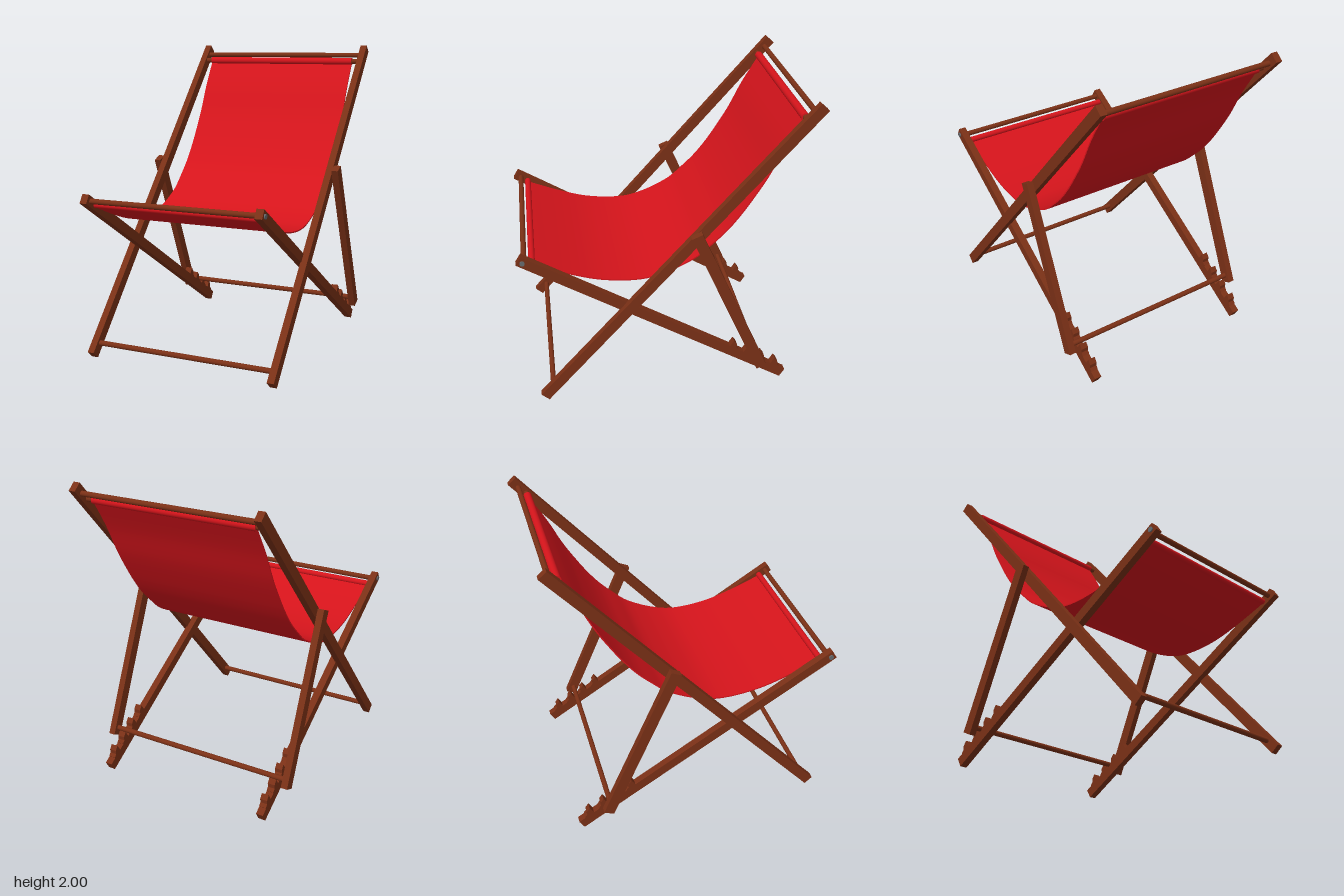
import * as THREE from 'three';
import { toCreasedNormals } from 'three/addons/utils/BufferGeometryUtils.js';

const wood = new THREE.MeshStandardMaterial({ color: 0x7a3016 });
const cloth = new THREE.MeshStandardMaterial({ color: 0xd5141b, side: THREE.DoubleSide });
const metal = new THREE.MeshStandardMaterial({ color: 0x666a6e });

export function createModel() {
  const chair = new THREE.Group();
  chair.name = 'deckChair';

  const add = (name, geometry, material) => {
    const mesh = new THREE.Mesh(geometry, material);
    mesh.name = name;
    chair.add(mesh);
    return mesh;
  };

  // Square beam between two [z, y] points, centred on x
  const beam = (name, x, thick, width, [z0, y0], [z1, y1]) => {
    const length = Math.hypot(z1 - z0, y1 - y0);
    const mesh = add(name, new THREE.BoxGeometry(thick, length, width), wood);
    mesh.position.set(x, (y0 + y1) / 2, (z0 + z1) / 2);
    mesh.rotation.x = Math.atan2(z1 - z0, y1 - y0);
  };

  // Round bar running along x
  const bar = (name, z, y, radius, length, material = wood, x = 0) => {
    const geometry = new THREE.CylinderGeometry(radius, radius, length, 20).rotateZ(Math.PI / 2);
    add(name, geometry, material).position.set(x, y, z);
  };

  // Outline of [z, y] points extruded along x, centred on x
  const slab = (name, points, x, width, material, crease) => {
    const shape = new THREE.Shape(points.map(([z, y]) => new THREE.Vector2(z, y)));
    const geometry = new THREE.ExtrudeGeometry(shape, { depth: width, bevelEnabled: false });
    geometry.translate(0, 0, -width / 2).rotateY(-Math.PI / 2);
    add(name, toCreasedNormals(geometry, crease), material).position.x = x;
  };

  // Side timbers, notch teeth and pivot caps
  for (const [side, s] of [['left', 1], ['right', -1]]) {
    beam(side + 'BackRail', s * 0.62, 0.045, 0.066, [0.807, 0.05], [-0.903, 1.982]);
    beam(side + 'SeatRail', s * 0.58, 0.048, 0.063, [0.911, 1.083], [-0.793, 0.034]);
    beam(side + 'PropLeg', s * 0.665, 0.044, 0.07, [-0.167, 1.208], [-0.622, 0.172]);
    for (let i = 0; i < 4; i++) {
      const z = -0.448 - i * 0.0957, y = 0.34 - i * 0.0577;
      const tooth = [[0.035, -0.06], [0.022, -0.035], [0, 0], [-0.021, -0.03], [-0.019, -0.055],
        [-0.035, -0.075], [-0.02, -0.09]].map(([a, b]) => [z + a, y + b]);
      slab(side + 'NotchTooth', tooth.reverse(), s * 0.58, 0.048, wood, 0.3);
    }
    bar(side + 'PivotCap', 0.887, 1.067, 0.016, 0.014, metal, s * 0.605);
  }

  // Cross bars
  bar('topBar', -0.865, 1.935, 0.017, 1.2);
  bar('upperClothBar', -0.815, 1.892, 0.017, 1.2);
  bar('frontBar', 0.877, 1.065, 0.017, 1.15);
  bar('lowerClothBar', 0.83, 1.036, 0.015, 1.15);
  bar('footBar', 0.75, 0.115, 0.017, 1.2);
  bar('propBar', -0.602, 0.218, 0.017, 1.3);

  // Sling: a sagging strip with a hem wrapped round each cloth bar
  const sag = new THREE.CatmullRomCurve3([
    [-0.82, 1.89], [-0.707, 1.7], [-0.617, 1.518], [-0.538, 1.385], [-0.458, 1.264], [-0.374, 1.158],
    [-0.283, 1.068], [-0.199, 0.993], [-0.087, 0.93], [0.019, 0.887], [0.12, 0.861], [0.23, 0.856],
    [0.342, 0.866], [0.453, 0.887], [0.617, 0.94], [0.83, 1.025],
  ].map(([z, y]) => new THREE.Vector3(z, y, 0)));
  const lower = [], upper = [];
  for (let i = 0; i <= 60; i++) {
    const p = sag.getPoint(i / 60), t = sag.getTangent(i / 60);
    lower.push([p.x + t.y * 0.004, p.y - t.x * 0.004]);
    upper.unshift([p.x - t.y * 0.004, p.y + t.x * 0.004]);
  }
  slab('clothSling', [...lower, ...upper], 0, 1.11, cloth, 0.6);
  bar('upperHem', -0.815, 1.892, 0.025, 1.11, cloth);
  bar('lowerHem', 0.83, 1.036, 0.02, 1.11, cloth);

  return chair;
}
